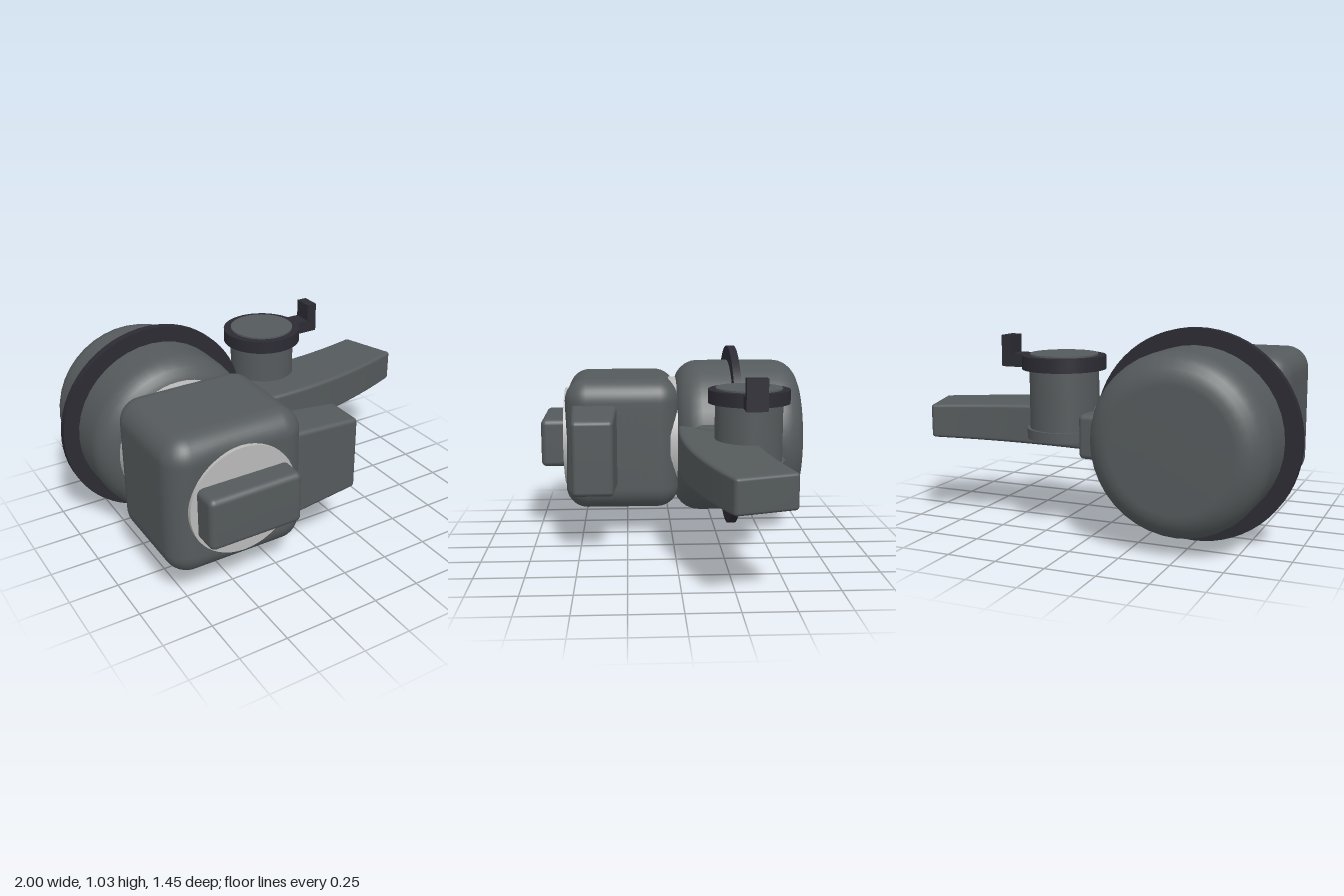
import * as THREE from 'three';
import { mergeVertices } from 'three/addons/utils/BufferGeometryUtils.js';

const mat = (name, color) => Object.assign(new THREE.MeshStandardMaterial({ color }), { name });

// Smooth rounded box with k segments per corner and m across each flat; rule() may reshape each point.
function softBox(w, h, d, r, k, m, rule) {
  const n = 2 * k + m;
  const g = new THREE.BoxGeometry(w, h, d, n, n, n);
  g.deleteAttribute('uv');
  g.deleteAttribute('normal');
  const pos = g.attributes.position;
  const p = new THREE.Vector3(), inner = new THREE.Vector3();
  const spread = (v, size) => {
    const i = Math.round((v / size + 0.5) * n), half = size / 2;
    if (i <= k) return -half + r * (1 - Math.tan((1 - i / k) * Math.PI / 4)) * 1 - 0 + 0;
    if (i >= n - k) return half - r * (1 - Math.tan((1 - (n - i) / k) * Math.PI / 4));
    return -half + r + (size - 2 * r) * (i - k) / m;
  };
  const half = new THREE.Vector3(w / 2 - r, h / 2 - r, d / 2 - r);
  const low = half.clone().negate();
  for (let i = 0; i < pos.count; i++) {
    p.set(spread(pos.getX(i), w), spread(pos.getY(i), h), spread(pos.getZ(i), d));
    inner.copy(p).clamp(low, half);
    p.sub(inner).setLength(r).add(inner);
    if (rule) rule(p);
    pos.setXYZ(i, p.x, p.y, p.z);
  }
  const out = mergeVertices(g, 1e-5);
  out.computeVertexNormals();
  return out;
}

export function createModel() {
  const grey = mat('slate grey', 0x555a5c);
  const dark = mat('dark trim', 0x2c2b34);
  const light = mat('light metal', 0xbababa);
  const model = new THREE.Group();
  const add = (name, geo, material, x, y, z) => {
    const mesh = new THREE.Mesh(geo, material);
    mesh.name = name;
    mesh.position.set(x, y, z);
    model.add(mesh);
    return mesh;
  };
  const disc = (r, h, seg = 48) => new THREE.CylinderGeometry(r, r, h, seg);
  const X = -0.485, Y = 0.523;

  // Rounded drum, lying along z
  const profile = [new THREE.Vector2(0, -0.352)];
  for (const s of [-1, 1]) {
    for (let i = 0; i <= 6; i++) {
      const a = (s < 0 ? i : 6 - i) / 6 * Math.PI / 2;
      profile.push(new THREE.Vector2(0.295 + 0.14 * Math.sin(a), s * (0.212 + 0.14 * Math.cos(a))));
    }
  }
  profile.push(new THREE.Vector2(0, 0.352));
  add('drum', new THREE.LatheGeometry(profile, 40).rotateX(Math.PI / 2), grey, X, Y, -0.375);
  add('drumRing', disc(0.516, 0.042, 64).rotateX(Math.PI / 2), dark, X, Y, -0.35);

  // Front block with slightly hollow front and back faces
  const block = softBox(0.72, 0.72, 0.625, 0.12, 5, 8, (p) => {
    const hollow = Math.max(0, 1 - (p.x * p.x + p.y * p.y) / 0.11);
    p.z *= 1 - (p.z < 0 ? 0.1 : 0.045) * hollow;
  });
  add('block', block, grey, X, Y, 0.2755);
  add('rearCollar', disc(0.34, 0.06).rotateX(Math.PI / 2), light, X, Y, -0.02);
  add('frontPlate', disc(0.278, 0.06).rotateX(Math.PI / 2), light, X, Y, 0.57);
  add('knob', softBox(0.48, 0.266, 0.16, 0.03, 3, 2), grey, X, Y, 0.645);

  // Tapered arm on the side of the block
  const arm = softBox(0.385, 0.46, 0.25, 0.025, 3, 2, (p) => {
    const t = p.x / 0.385 + 0.5;
    p.y *= 1 - 0.15 * t;
    p.z *= 1 - 0.15 * t;
  });
  add('sideArm', arm, grey, 0.0125, 0.525, 0.425);

  // Curved handle swept between a front and a back edge
  const v2 = (x, z) => new THREE.Vector2(x, z);
  const front = new THREE.QuadraticBezierCurve(v2(-0.18, -0.035), v2(0.4, 0.015), v2(1.0, -0.215));
  const back = new THREE.QuadraticBezierCurve(v2(-0.1, -0.4), v2(0.4, -0.375), v2(0.9, -0.515));
  const handle = softBox(1.1, 0.235, 0.33, 0.02, 3, 14, (p) => {
    const t = THREE.MathUtils.clamp(p.x / 1.1 + 0.5, 0, 1);
    const q = back.getPoint(t).lerp(front.getPoint(t), p.z / 0.33 + 0.5);
    p.set(q.x, p.y * (1 - 0.27 * t), q.y);
  });
  add('handle', handle, grey, 0, Y, 0);

  // Knuckle joining the handle to the drum
  const knuckle = add('knuckle', softBox(0.18, 0.26, 0.14, 0.025, 3, 2), grey, -0.045, Y, -0.23);
  knuckle.rotation.y = 0.93;
  add('bracket', softBox(0.2, 0.22, 0.14, 0.025, 3, 2), grey, -0.04, 0.505, -0.45);

  // Upright post with its flange, cap ring and thumb tab
  const px = 0.2, pz = -0.372;
  add('postFlange', disc(0.188, 0.05), grey, px, 0.495, pz);
  add('post', disc(0.173, 0.37), grey, px, 0.665, pz);
  add('capRing', disc(0.209, 0.068), dark, px, 0.849, pz);
  add('capTop', disc(0.17, 0.02), grey, px, 0.882, pz);
  add('tabArm', new THREE.BoxGeometry(0.12, 0.066, 0.105), dark, 0.415, 0.849, -0.37);
  add('tab', new THREE.BoxGeometry(0.055, 0.158, 0.105), dark, 0.4975, 0.895, -0.37);

  return model;
}
